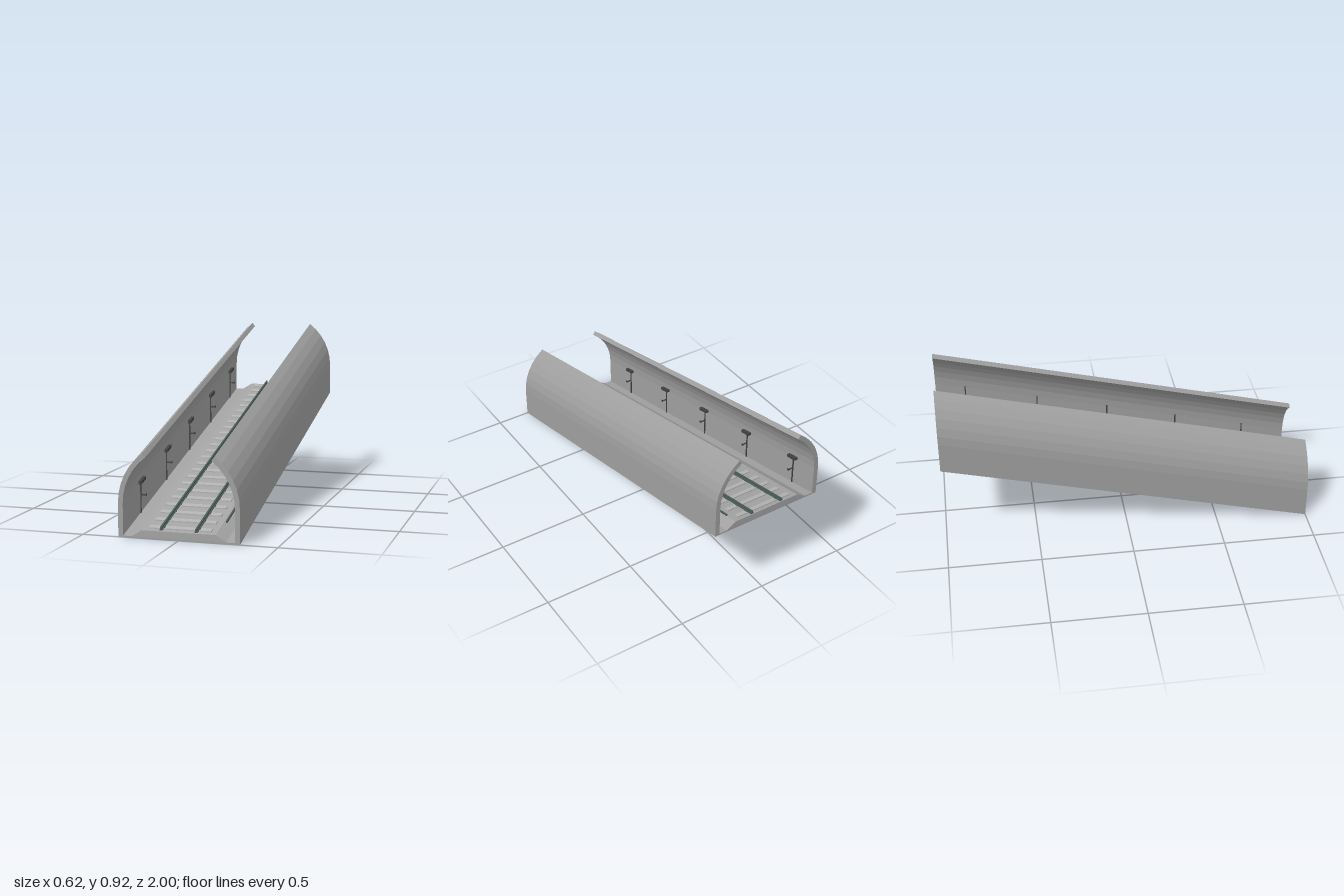
import * as THREE from 'three';

const material = (name, color) => {
  const m = new THREE.MeshStandardMaterial({ color });
  m.name = name;
  return m;
};

export function createModel() {
  const concrete = material('concrete', 0xa0a0a0);
  const ballastGrey = material('ballastGrey', 0xa3a3a3);
  const sleeperGrey = material('sleeperGrey', 0xb2b2b2);
  const steel = material('railSteel', 0x4a5b57);
  const darkMetal = material('darkMetal', 0x3f4443);

  const model = new THREE.Group();
  model.name = 'slopedTrackTrough';

  // Everything climbs towards the back; ends and posts stay upright
  const add = (parent, name, geometry, mat) => {
    const p = geometry.attributes.position;
    for (let i = 0; i < p.count; i++) p.setY(i, p.getY(i) + (1 - p.getZ(i)) * 0.25);
    const flat = geometry.index ? geometry.toNonIndexed() : geometry;
    flat.computeVertexNormals();
    const mesh = new THREE.Mesh(flat, mat);
    mesh.name = name;
    parent.add(mesh);
  };
  const extrude = (points) => {
    const shape = new THREE.Shape(points.map(([x, y]) => new THREE.Vector2(x, y)));
    return new THREE.ExtrudeGeometry(shape, { depth: 2, bevelEnabled: false }).translate(0, 0, -1);
  };
  const box = (w, h, d, x, y, z) => new THREE.BoxGeometry(w, h, d).translate(x, y, z);
  const group = (name) => {
    const g = new THREE.Group();
    g.name = name;
    model.add(g);
    return g;
  };

  // Curved walls joined by a thin floor
  const arc = (radius) => Array.from({ length: 7 }, (_, i) => {
    const a = THREE.MathUtils.degToRad(i * 9);
    return [radius * Math.cos(a), 0.17 + radius * Math.sin(a)];
  });
  const half = [[0.312, 0], ...arc(0.312), ...arc(0.287).reverse(), [0.287, 0.008]];
  const mirrored = half.map(([x, y]) => [-x, y]).reverse();
  add(model, 'wallsAndFloor', extrude([...half, ...mirrored]), concrete);

  // Raised track bed
  add(model, 'trackBed', extrude([[-0.243, 0.008], [0.243, 0.008], [0.19, 0.041], [-0.19, 0.041]]), ballastGrey);

  // Sleepers with a rail plate under each rail
  const sleepers = group('sleepers');
  const plates = group('railPlates');
  for (let i = 0; i < 24; i++) {
    const z = 0.963 - i * 0.0837;
    add(sleepers, 'sleeper', box(0.32, 0.012, 0.028, 0, 0.041, z), sleeperGrey);
    for (const x of [-0.09, 0.09]) add(plates, 'railPlate', box(0.023, 0.004, 0.02, x, 0.0485, z), steel);
  }

  // Rails: foot, web and head in one section
  const section = [[0.008, 0.046], [0.008, 0.05], [0.003, 0.051], [0.003, 0.056], [0.005, 0.057], [0.005, 0.062]];
  for (const side of [-1, 1]) {
    const points = [...section, ...section.map(([x, y]) => [-x, y]).reverse()];
    add(model, 'rail', extrude(points.map(([x, y]) => [x + side * 0.09, y])), steel);
  }

  // Wall posts with short arms; lamps on the right-hand row
  const posts = group('wallPosts');
  for (const side of [-1, 1]) {
    for (let i = 0; i < 5; i++) {
      const z = 0.75 - i * 0.397;
      add(posts, 'post', box(0.005, 0.17, 0.006, side * 0.2845, 0.093, z), darkMetal);
      add(posts, 'arm', box(0.034, 0.006, 0.006, side * 0.27, 0.103, z), darkMetal);
      add(posts, 'armTip', box(0.004, 0.011, 0.012, side * 0.255, 0.104, z), darkMetal);
      if (side < 0) add(posts, 'lamp', box(0.016, 0.016, 0.065, -0.276, 0.178, z), darkMetal);
    }
  }

  // Power line carried on the arm tips of the left-hand row
  add(model, 'powerLine', box(0.008, 0.008, 2, 0.245, 0.109, 0), steel);

  return model;
}
